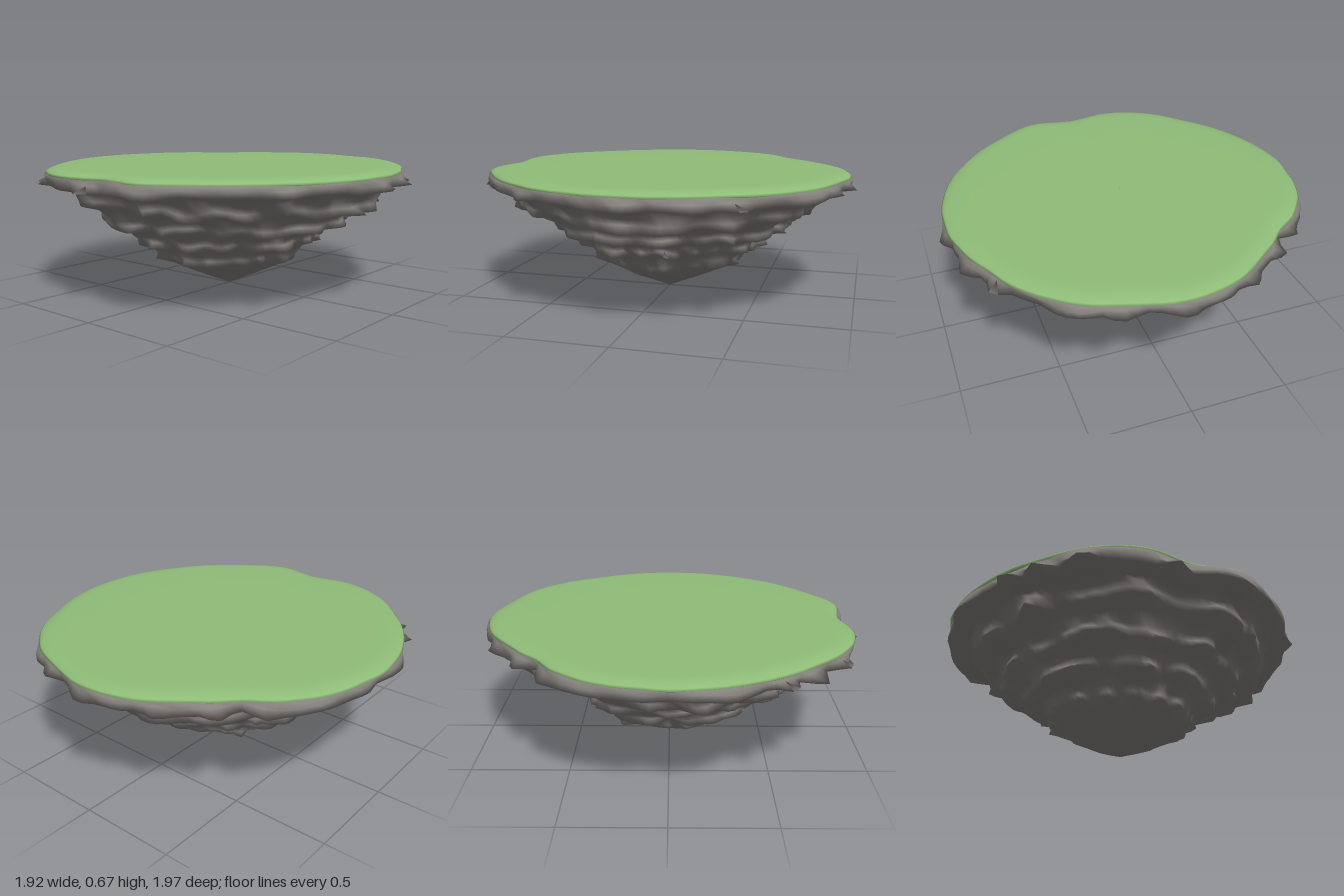
import * as THREE from 'three';

const SEGMENTS = 120;

// Radius of the island's rim, every 15 degrees from +x towards +z
const RIM = [0.92, 0.92, 0.915, 0.925, 0.935, 0.965, 0.905, 0.97, 0.98, 0.95, 0.945, 0.95,
  0.955, 0.94, 0.92, 0.865, 0.885, 0.935, 0.96, 0.94, 0.955, 0.94, 0.915, 0.92];

// Pointed stones jutting out of the top ledge: [degrees, radius]
const STONES = [[33, 0.95], [60, 0.95], [74, 0.99], [96, 0.99], [122, 1.02], [135, 1.02], [146, 1.0],
  [188, 0.955], [219, 0.94], [232, 0.935], [249, 0.96], [272, 0.99], [289, 0.985], [326, 0.965],
  [339, 0.97], [356, 0.955]];

// Rock rings from the rim down: [height, radius, roughness, is ledge lip]
const RINGS = [
  [0.655, 0.90, 0.0, 0], [0.635, 0.93, 0.008, 0], [0.612, 0.93, 0.018, 0], [0.582, 0.93, 0.022, 1],
  [0.565, 0.85, 0.025, 0], [0.535, 0.80, 0.03, 0], [0.505, 0.785, 0.03, 0], [0.475, 0.775, 0.045, 1],
  [0.455, 0.70, 0.025, 0], [0.425, 0.655, 0.025, 0], [0.40, 0.645, 0.025, 0], [0.375, 0.635, 0.04, 1],
  [0.355, 0.575, 0.02, 0], [0.325, 0.53, 0.02, 0], [0.30, 0.515, 0.02, 0], [0.275, 0.50, 0.035, 1],
  [0.255, 0.445, 0.018, 0], [0.225, 0.41, 0.015, 0], [0.20, 0.395, 0.015, 0], [0.175, 0.375, 0.025, 1],
  [0.145, 0.315, 0.01, 0], [0.10, 0.225, 0.008, 0], [0.055, 0.125, 0.005, 0], [0.02, 0.045, 0.002, 0],
  [0, 0.001, 0, 0],
];

const hash = (i, j) => {
  const s = Math.sin(i * 127.1 + j * 311.7 + 4.2) * 43758.5453;
  return (s - Math.floor(s)) * 2 - 1;
};

// Smooth noise around the circle, from -1 to 1
function noise(t, cells, seed) {
  const p = t * cells, i = Math.floor(p), f = p - i;
  const w = f * f * (3 - 2 * f);
  return hash(i % cells, seed) * (1 - w) + hash((i + 1) % cells, seed) * w;
}

// Rim radius by Catmull-Rom interpolation
function rim(t) {
  const n = RIM.length, p = t * n, i = Math.floor(p), f = p - i;
  const [a, b, c, d] = [-1, 0, 1, 2].map((k) => RIM[(i + k + n) % n]);
  return b + 0.5 * f * (c - a + f * (2 * a - 5 * b + 4 * c - d + f * (3 * (b - c) + d - a)));
}

// Joins closed rings, listed from top to bottom, with outward faces
function loft(ringCount, pointAt) {
  const positions = [], index = [];
  for (let r = 0; r < ringCount; r++) {
    for (let s = 0; s < SEGMENTS; s++) {
      const t = s / SEGMENTS, angle = t * Math.PI * 2;
      const [radius, y] = pointAt(r, t);
      positions.push(Math.cos(angle) * radius, y, Math.sin(angle) * radius);
      if (r === ringCount - 1) continue;
      const a = r * SEGMENTS + s, b = r * SEGMENTS + (s + 1) % SEGMENTS;
      index.push(a, b, a + SEGMENTS, b, b + SEGMENTS, a + SEGMENTS);
    }
  }
  const geometry = new THREE.BufferGeometry();
  geometry.setAttribute('position', new THREE.Float32BufferAttribute(positions, 3));
  geometry.setIndex(index);
  geometry.computeVertexNormals();
  return geometry;
}

// One point of the layered rock: a ragged ledge, undercut below each lip
function rockPoint(r, t) {
  const [height, base, rough, lip] = RINGS[r];
  const layer = Math.floor((r + 3) / 4);
  const shape = 1 + (rim(t) / 0.93 - 1) * Math.min(1, base / 0.6);
  const broad = noise(t, 30, layer * 7 + 1);
  const fine = noise(t, 60, r * 5 + 2);
  let radius = base * shape + rough * (broad * 0.9 + fine * 0.6);
  let y = height + (r > 1 ? rough * 0.55 * noise(t, 40, layer * 11 + 3) : 0);
  if (r === 3) {
    for (const [degrees, tip] of STONES) {
      const gap = Math.abs(((t * 360 - degrees + 540) % 360) - 180);
      const pull = Math.max(0, 1 - Math.max(0, gap - 1.2) / 4);
      radius += (tip - radius) * pull;
    }
  } else if (lip) {
    radius += 0.035 * Math.max(0, noise(t, 60, r + 90));
  }
  return [radius, Math.max(0, y)];
}

// Turf cap: inset from the rim and height, rolling over the edge
const TURF = [[1, 0.668], [0.4, 0.668], [0.15, 0.668], [0.09, 0.667], [0.055, 0.664],
  [0.025, 0.657], [0.008, 0.649], [0, 0.64], [0.012, 0.632], [0.04, 0.63]];

export function createModel() {
  const grass = new THREE.MeshStandardMaterial({ color: 0x8fbc78 });
  grass.name = 'grass green';
  const stone = new THREE.MeshStandardMaterial({ color: 0x85817d });
  stone.name = 'stone grey';

  const turf = new THREE.Mesh(loft(TURF.length, (r, t) => {
    const [inset, y] = TURF[r];
    return [inset === 1 ? 0.001 : rim(t) - inset + (r > 5 ? 0.006 * noise(t, 48, 70) : 0), y];
  }), grass);
  turf.name = 'grassTop';

  const rock = new THREE.Mesh(loft(RINGS.length, rockPoint), stone);
  rock.name = 'rockUnderside';

  const island = new THREE.Group();
  island.name = 'floatingIsland';
  island.add(turf, rock);
  return island;
}
